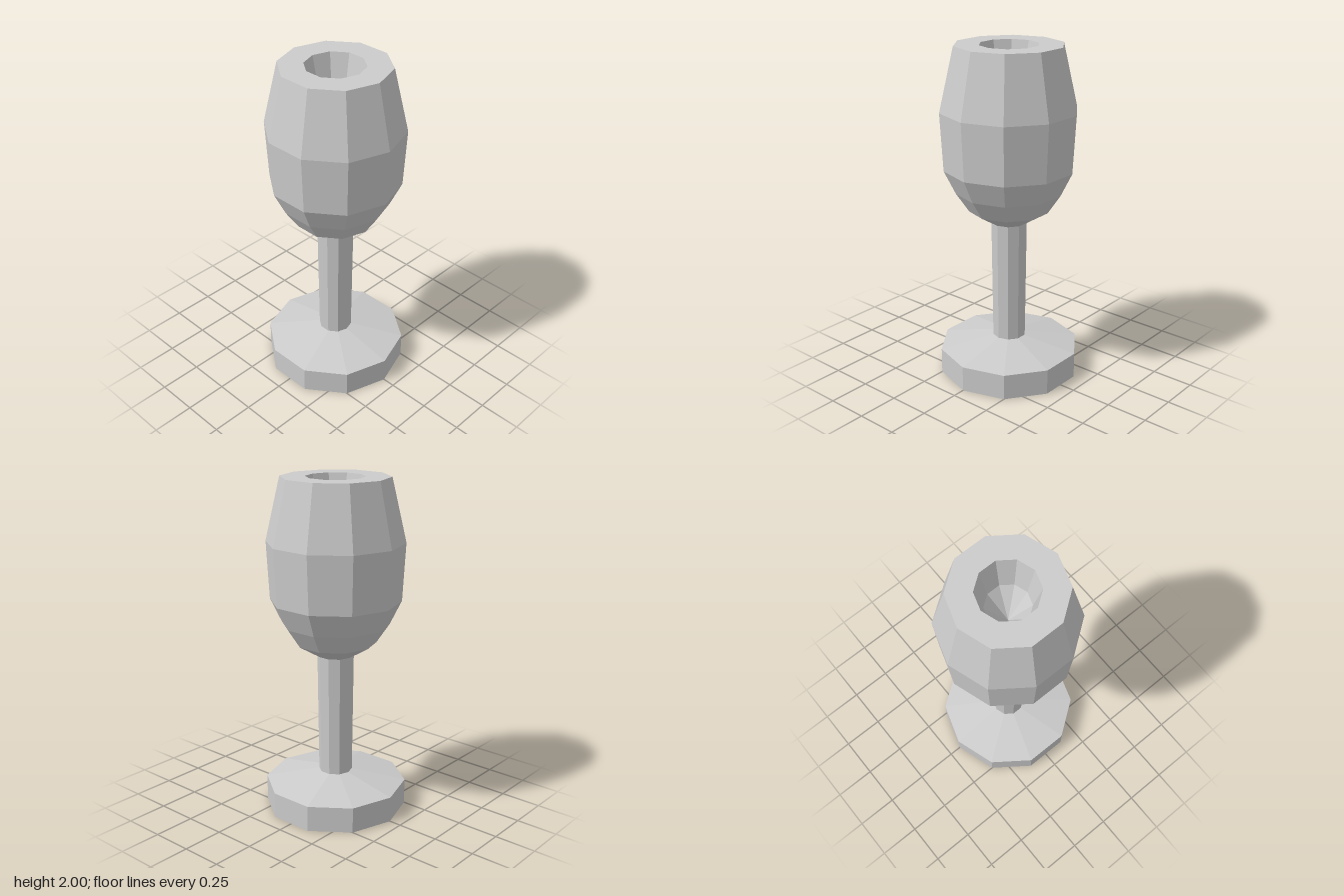
import * as THREE from 'three';

const SIDES = 10;

export function createModel() {
  const group = new THREE.Group();
  const material = new THREE.MeshStandardMaterial({ color: 0xcccccc, flatShading: true });

  // Turns a [radius, height] profile, listed from the bottom up, into a ten-sided part
  function turned(name, profile) {
    const points = profile.map(([r, y]) => new THREE.Vector2(r, y));
    const mesh = new THREE.Mesh(new THREE.LatheGeometry(points, SIDES), material);
    mesh.name = name;
    group.add(mesh);
  }

  // Thick foot with a gently sloping top
  turned('foot', [[0, 0], [0.425, 0], [0.425, 0.155], [0.1, 0.22]]);

  // Stem, slightly wider at the top
  turned('stem', [[0.1, 0.22], [0.108, 0.955]]);

  // Bowl: outer wall, flat rim, then the tapering hollow with a pointed floor
  turned('bowl', [
    [0.108, 0.955], [0.24, 1.035], [0.317, 1.15], [0.385, 1.29], [0.403, 1.63], [0.317, 2],
    [0.172, 2], [0.127, 1.8], [0, 1.62],
  ]);

  return group;
}
